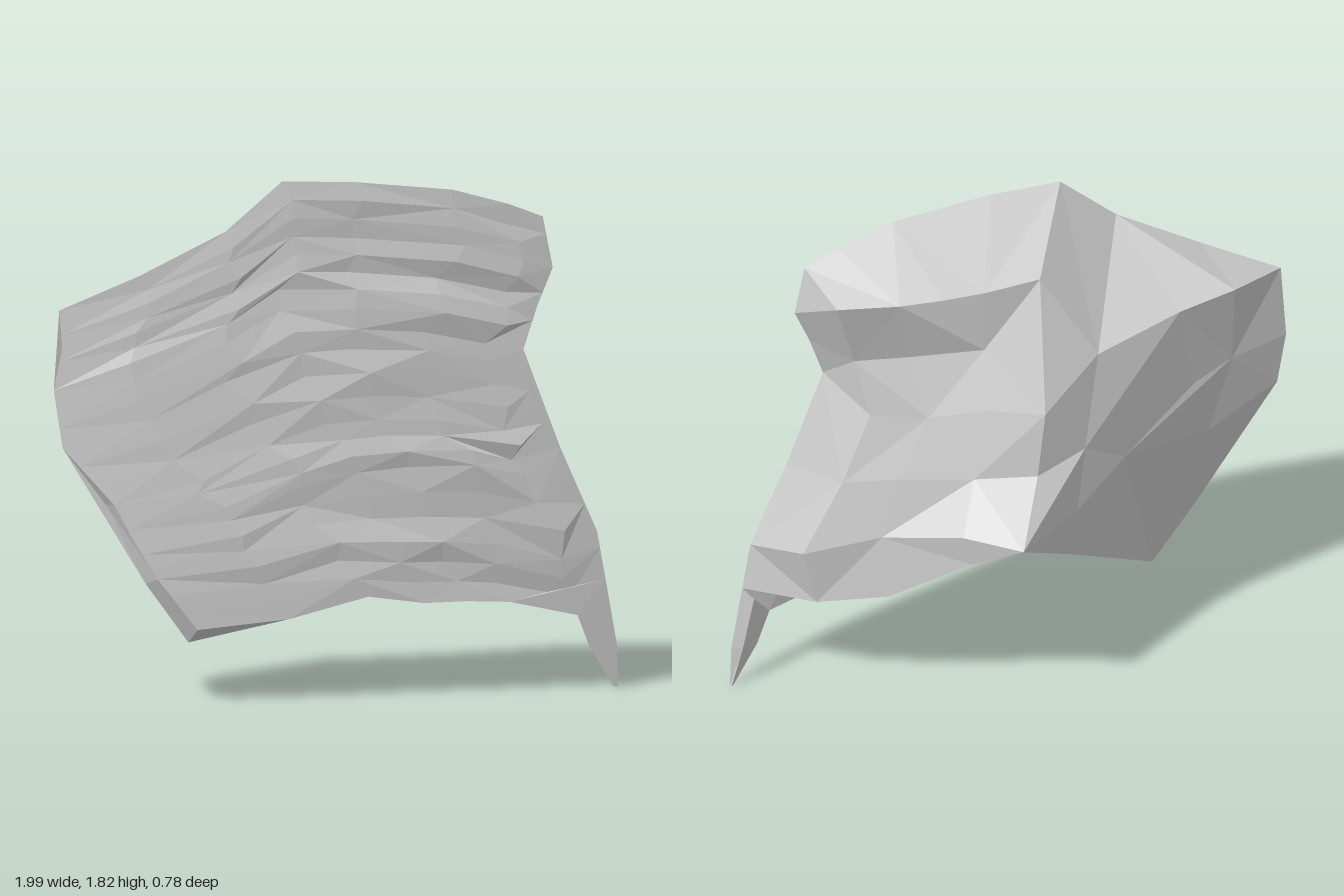
import * as THREE from 'three';

const material = new THREE.MeshStandardMaterial({ color: 0xcccccc, flatShading: true, side: THREE.DoubleSide });

// Depth of the gently bowed front face, leaning back toward the top
const bow = [0.38, 0.39, 0.39, 0.375, 0.345, 0.31, 0.27, 0.22, 0.16, 0.09, 0.01];
function frontZ(x, y) {
  const t = THREE.MathUtils.clamp((x + 1) * 5, 0, 9.999), i = Math.floor(t);
  return THREE.MathUtils.lerp(bow[i], bow[i + 1], t - i) - 0.058 * Math.max(0, y - 0.5);
}
// Points given without depth lie on the front face
const full = ([x, y, z = frontZ(x, y)]) => [x, y, z];

// Joins rows of points, listed top to bottom and each running toward +x
function loft(name, rows, facesFront = false) {
  const pos = [];
  const tri = (a, b, c) => pos.push(...a, ...(facesFront ? c : b), ...(facesFront ? b : c));
  const r = rows.map(row => row.map(full));
  for (let j = 0; j < r.length - 1; j++) {
    for (let i = 0; i < r[j].length - 1; i++) {
      const a = r[j][i], b = r[j][i + 1], c = r[j + 1][i], d = r[j + 1][i + 1];
      if ((i + j) % 2) { tri(a, b, c); tri(b, d, c); }
      else { tri(a, b, d); tri(a, d, c); }
    }
  }
  const g = new THREE.BufferGeometry();
  g.setAttribute('position', new THREE.Float32BufferAttribute(pos, 3));
  g.computeVertexNormals();
  const mesh = new THREE.Mesh(g, material);
  mesh.name = name;
  return mesh;
}

// Outline of the front face, one polyline per side
const top = [[-0.98, 1.38], [-0.7, 1.5], [-0.4, 1.65], [-0.2, 1.82], [0.05, 1.81], [0.4, 1.77], [0.6, 1.71], [0.72, 1.66]];
const right = [[0.72, 1.66], [0.755, 1.48], [0.7, 1.35], [0.65, 1.2], [0.68, 0.98], [0.78, 0.85], [0.91, 0.55], [0.94, 0.38]];
const bottom = [[-0.5, 0.26], [-0.18, 0.29], [0.1, 0.36], [0.3, 0.33], [0.45, 0.33], [0.6, 0.32], [0.84, 0.26], [0.94, 0.38]];
const left = [[-0.98, 1.38], [-0.97, 1.25], [-1, 1.1], [-0.97, 0.9], [-0.79, 0.7], [-0.72, 0.57], [-0.64, 0.44], [-0.5, 0.26]];

function along(line, t) {
  const s = t * (line.length - 1), i = Math.min(Math.floor(s), line.length - 2), f = s - i;
  return [0, 1].map(k => line[i][k] * (1 - f) + line[i + 1][k] * f);
}
const hash = (i, j) => { const s = Math.sin(i * 127.1 + j * 311.7) * 43758.5; return s - Math.floor(s) - 0.5; };

// Front face: patch filling the outline, roughened by flat ripples
function frontRows(nu = 7, nv = 21) {
  const rows = [];
  for (let j = 0; j <= nv; j++) {
    const row = [], v = j / nv;
    for (let i = 0; i <= nu; i++) {
      const u = i / nu;
      const t = along(top, u), b = along(bottom, u), l = along(left, v), r = along(right, v);
      const [x, y] = [0, 1].map(k => (1 - v) * t[k] + v * b[k] + (1 - u) * l[k] + u * r[k]
        - (1 - u) * ((1 - v) * top[0][k] + v * bottom[0][k])
        - u * ((1 - v) * top[7][k] + v * bottom[7][k]));
      const inside = i > 0 && i < nu && j > 0 && j < nv ? 1 : 0;
      row.push([x + inside * 0.08 * hash(i, j + 50), y, frontZ(x, y) + inside * 0.014 * hash(i, j)]);
    }
    rows.push(row);
  }
  return rows;
}

export function createModel() {
  const group = new THREE.Group();
  group.name = 'rockShard';

  // Points and lines shared by neighbouring back faces
  const ledgeCorner = [-0.1, 1.59, 0];
  const peak = [0, 0.72, -0.39];
  const spine = [-0.07, 0.91, -0.2];
  const keel = [-0.2, 0.5, -0.06];
  const shoulder = [[-0.98, 1.38], [-0.8, 1.41, 0.15], [-0.6, 1.37, 0.09], [-0.3, 1.29, -0.03], [-0.1, 1.14, -0.17]];
  const ledge = [ledgeCorner, [0.1, 1.57, -0.04], [0.25, 1.565, -0.065], [0.4, 1.56, -0.08], [0.62, 1.56, -0.08], right[1]];
  const lowRidge = [peak, [0.17, 0.62, -0.29], [0.45, 0.43, -0.16], [0.69, 0.37, -0.07], right[7]];
  const leftRim = [[-0.97, 0.9], [-0.82, 0.7, 0.35], [-0.68, 0.42, 0.36], [-0.53, 0.21, 0.335]];
  const corner = leftRim[3];

  group.add(
    loft('frontFace', frontRows(), true),
    // Narrow chipped edge along the lower left of the front
    loft('leftBevel', [
      [left[3], left[4], left[6], left[7], bottom[1]],
      [...leftRim, bottom[1]],
    ], true),
    loft('upperLeftSlope', [[...top.slice(0, 4), ledgeCorner], shoulder]),
    loft('topLedge', [[...top.slice(3), right[1]], ledge]),
    // Hollow under the ledge, then the bulge running out to the peak
    loft('backHollow', [
      [ledgeCorner, ledge[1], ledge[3], ledge[4], right[1]],
      [[-0.1, 1.365, -0.085], [0.1, 1.34, -0.04], [0.35, 1.31, -0.01], [0.55, 1.3, 0], right[2]],
      [shoulder[4], [0.1, 1.14, -0.12], [0.3, 1.1, -0.08], [0.5, 1.1, -0.04], right[3]],
      [spine, [0.15, 0.9, -0.18], [0.4, 0.88, -0.12], [0.6, 0.85, -0.07], right[5]],
      [peak, [0.2, 0.73, -0.29], [0.47, 0.66, -0.14], [0.74, 0.58, -0.09], right[6]],
      lowRidge,
    ]),
    loft('rightInset', [[right[3], right[3]], [[0.6, 0.85, -0.07], right[4]], [right[5], right[5]]]),
    loft('lowerLeftFace', [
      shoulder,
      [left[2], [-0.8, 1.08, 0.24], [-0.66, 1.03, 0.17], [-0.25, 0.94, -0.08], spine],
      [leftRim[0], [-0.72, 0.78, 0.26], [-0.4, 0.83, 0.03], [-0.22, 0.7, -0.1], peak],
      [leftRim[1], leftRim[2], corner, keel, peak],
    ]),
    loft('underside', [
      [corner, keel, ...lowRidge],
      [corner, ...bottom.slice(1, 7)],
    ]),
    // Thin pointed tail at the lower corner
    loft('tailFront', [[bottom[6], right[7]], [[0.885, 0.14], [0.98, 0.15]], [[0.97, 0], [0.985, 0]]], true),
    loft('tailBack', [
      [bottom[6], [0.9, 0.34, 0.02], right[7]],
      [[0.885, 0.14], [0.94, 0.15, 0.01], [0.98, 0.15]],
      [[0.97, 0], [0.98, 0, 0.005], [0.985, 0]],
    ]),
  );
  return group;
}
